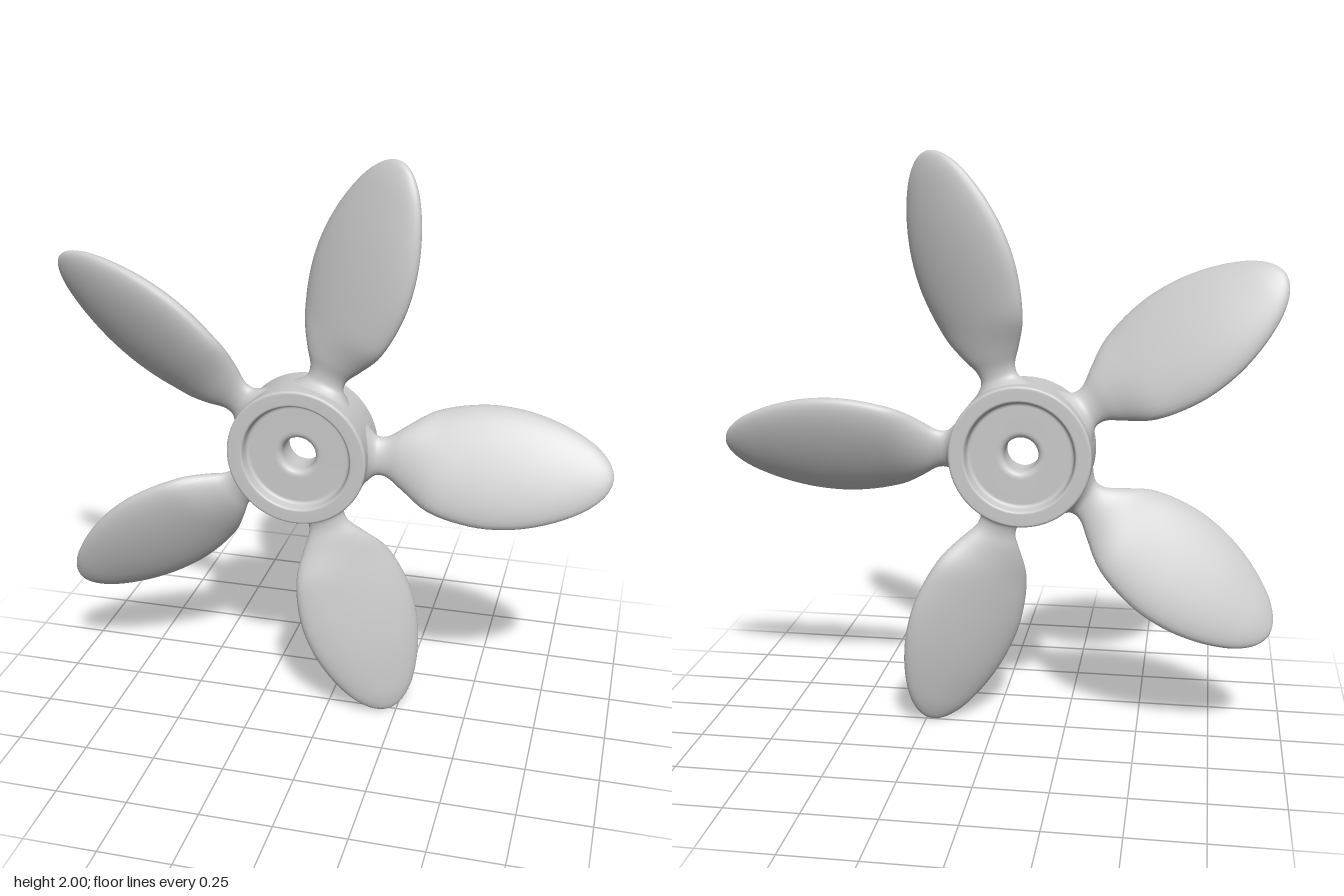
import * as THREE from 'three';

const material = new THREE.MeshStandardMaterial({ color: 0xcccccc });
const HUB_X = -0.095, HUB_Y = 1, BLADES = 5;

// Closed profile whose corners [radius, height, fillet] are rounded
function roundedProfile(corners) {
  const pts = [], n = corners.length;
  const v = ([x, y]) => new THREE.Vector2(x, y);
  corners.forEach((c, i) => {
    const p = v(c);
    const toward = (q) => v(q).sub(p).setLength(c[2]).add(p);
    const a = toward(corners[(i + n - 1) % n]), b = toward(corners[(i + 1) % n]);
    pts.push(...new THREE.QuadraticBezierCurve(a, p, b).getPoints(5));
  });
  pts.push(pts[0].clone());
  return pts;
}

// Hub: ring rim, recessed web on both faces, central bore
function hubGeometry() {
  const half = [
    [0.242, 0.1, 0.01], [0.188, 0.1, 0.008], [0.18, 0.063, 0.012], [0.058, 0.063, 0.026],
  ];
  const back = half.map(([r, y, f]) => [r, -y, f]).reverse();
  const geo = new THREE.LatheGeometry(roundedProfile([...half, ...back]), 80);
  return geo.rotateX(Math.PI / 2);
}

// Blade along +x: lofted elliptical sections, pitched towards the tip,
// with a root flare that wraps around the hub
function bladeGeometry() {
  // radius from hub axis, half chord, half thickness
  const stations = [
    [0.236, 0.125, 0.075], [0.248, 0.09, 0.05], [0.266, 0.068, 0.034], [0.295, 0.069, 0.031],
    [0.35, 0.106, 0.04], [0.45, 0.171, 0.051], [0.6, 0.205, 0.056], [0.72, 0.202, 0.055],
    [0.82, 0.18, 0.05], [0.91, 0.145, 0.041], [0.98, 0.104, 0.031], [1.025, 0.06, 0.019],
    [1.042, 0.028, 0.01], [1.048, 0.001, 0.001],
  ];
  const curve = new THREE.CatmullRomCurve3(stations.map((s) => new THREE.Vector3(...s)));
  const rows = 65, sides = 36, pos = [], index = [];
  for (let i = 0; i <= rows; i++) {
    const s = curve.getPoint(i / rows);
    const pitch = THREE.MathUtils.lerp(0.2, 0.5, THREE.MathUtils.smoothstep(s.x, 0.25, 0.48));
    const straight = THREE.MathUtils.smoothstep(s.x, 0.24, 0.33);
    for (let j = 0; j < sides; j++) {
      const t = (j / sides) * Math.PI * 2;
      const c = s.y * Math.cos(t), d = s.z * Math.sin(t);
      const y = c * Math.cos(pitch) + d * Math.sin(pitch);
      const z = d * Math.cos(pitch) - c * Math.sin(pitch);
      const wrapped = Math.sqrt(s.x * s.x - y * y);
      pos.push(THREE.MathUtils.lerp(wrapped, s.x, straight), y, z);
      if (i === rows) continue;
      const a = i * sides + j, b = i * sides + ((j + 1) % sides);
      index.push(a, b, a + sides, b, b + sides, a + sides);
    }
  }
  const geo = new THREE.BufferGeometry();
  geo.setAttribute('position', new THREE.Float32BufferAttribute(pos, 3));
  geo.setIndex(index);
  geo.computeVertexNormals();
  return geo;
}

export function createModel() {
  const group = new THREE.Group();
  group.name = 'propeller';

  const hub = new THREE.Mesh(hubGeometry(), material);
  hub.name = 'hub';
  hub.position.set(HUB_X, HUB_Y, 0);
  group.add(hub);

  // Blades evenly spaced around the hub
  const geo = bladeGeometry();
  for (let i = 0; i < BLADES; i++) {
    const blade = new THREE.Mesh(geo, material);
    blade.name = `blade${i + 1}`;
    blade.position.copy(hub.position);
    blade.rotation.z = (i / BLADES) * Math.PI * 2;
    group.add(blade);
  }
  return group;
}
